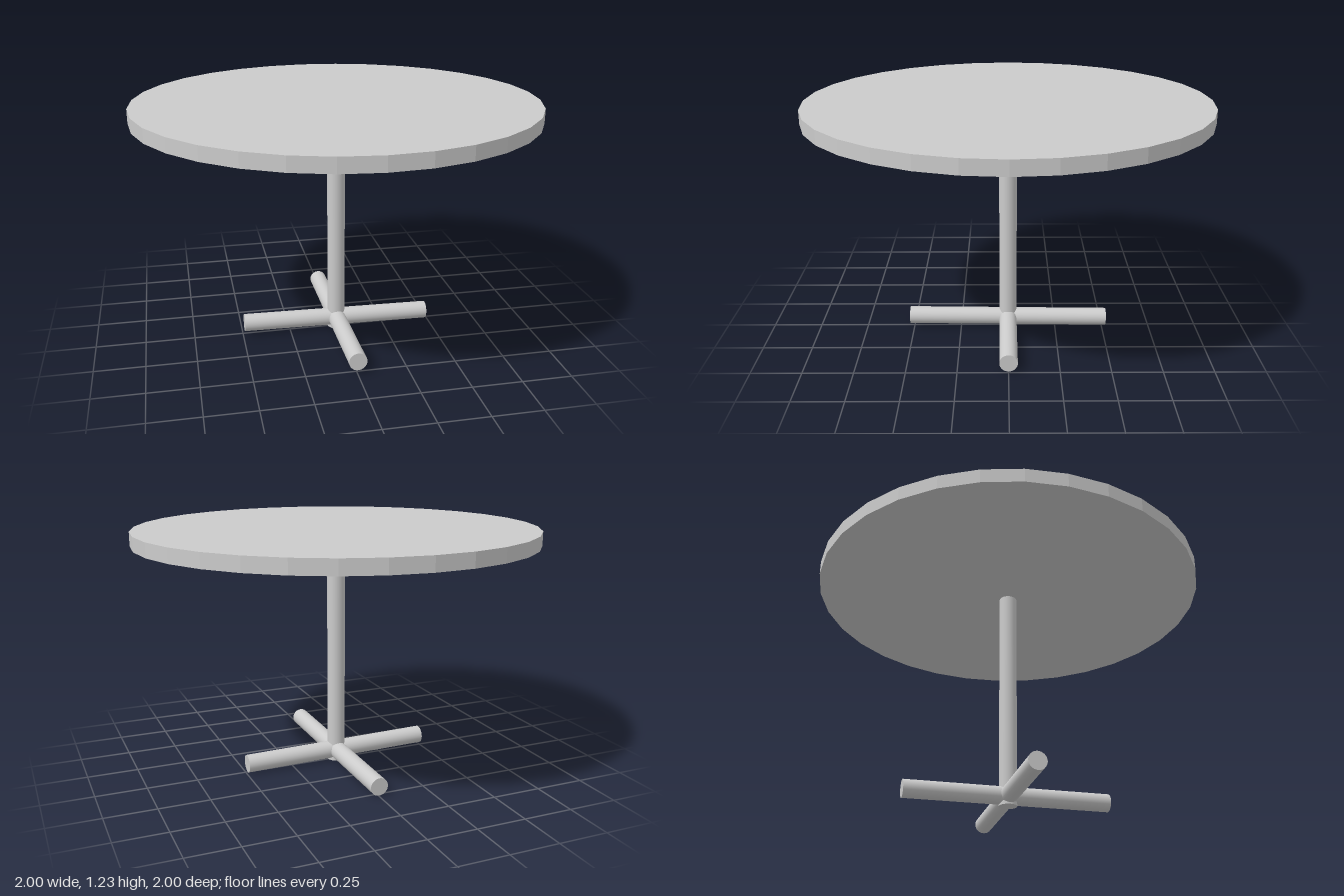
import * as THREE from 'three';

const UP = new THREE.Vector3(0, 1, 0);
const TUBE_RADIUS = 0.045;

export function createModel() {
  const model = new THREE.Group();
  model.name = 'pedestalTable';
  const smooth = new THREE.MeshStandardMaterial({ color: 0xcccccc });
  const faceted = new THREE.MeshStandardMaterial({ color: 0xcccccc, flatShading: true });

  // Round bar with closed ends running between two points
  function addBar(name, from, to) {
    const a = new THREE.Vector3(...from);
    const b = new THREE.Vector3(...to);
    const axis = b.clone().sub(a);
    const bar = new THREE.Mesh(
      new THREE.CylinderGeometry(TUBE_RADIUS, TUBE_RADIUS, axis.length(), 32), smooth);
    bar.name = name;
    bar.position.copy(a).add(b).multiplyScalar(0.5);
    bar.quaternion.setFromUnitVectors(UP, axis.normalize());
    model.add(bar);
  }

  // Faceted round top
  const top = new THREE.Mesh(new THREE.CylinderGeometry(1, 1, 0.07, 32), faceted);
  top.name = 'tableTop';
  top.position.y = 1.195;
  model.add(top);

  // Central column
  addBar('column', [0, 0.005, 0], [0, 1.165, 0]);

  // Crossed foot bars, each slightly tilted
  addBar('sideFootBar', [-0.49, 0.066, 0], [0.49, 0.049, 0]);
  addBar('frontBackFootBar', [-0.004, 0.049, -0.52], [0.004, 0.066, 0.52]);

  return model;
}
